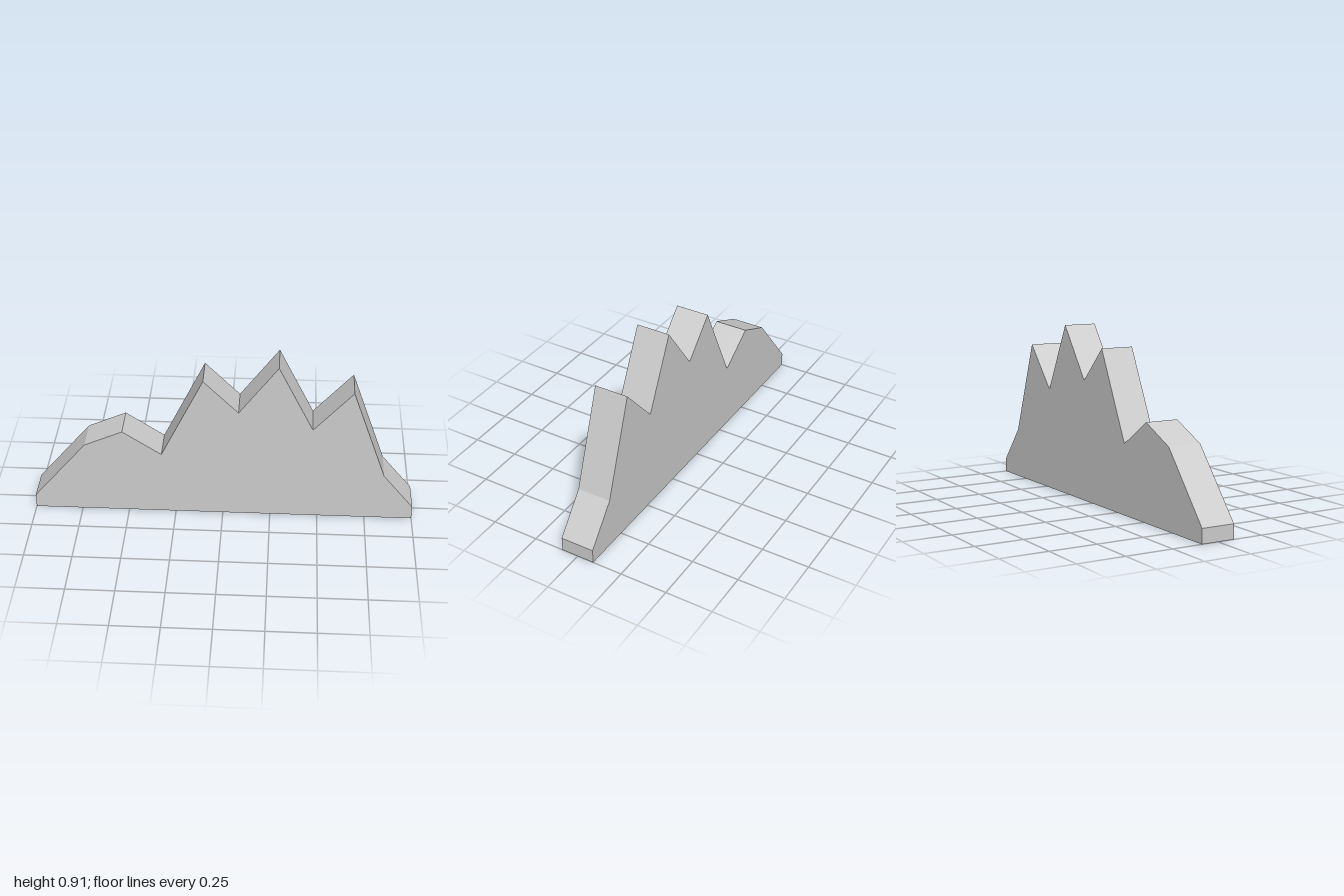
import * as THREE from 'three';

const DEPTH = 0.18;

// Ridge line from the left end of the outline to the right end
const RIDGE = [
  [-1, 0.075], [-0.72, 0.41], [-0.52, 0.5], [-0.32, 0.365], [-0.1, 0.82], [0.08, 0.638],
  [0.28, 0.91], [0.46, 0.547], [0.66, 0.774], [0.84, 0.27], [1, 0.075],
];

export function createModel() {
  const model = new THREE.Group();
  model.name = 'mountainRange';

  // Flat-bottomed mountain silhouette, extruded to a slab
  const outline = [[-1, 0], [1, 0], ...RIDGE.slice().reverse()];
  const shape = new THREE.Shape(outline.map(([x, y]) => new THREE.Vector2(x, y)));
  const geometry = new THREE.ExtrudeGeometry(shape, { depth: DEPTH, bevelEnabled: false });
  geometry.translate(0, 0, -DEPTH / 2);

  const material = new THREE.MeshStandardMaterial({ color: 0xcccccc, flatShading: true });
  const mountains = new THREE.Mesh(geometry, material);
  mountains.name = 'mountainSlab';
  model.add(mountains);
  return model;
}
